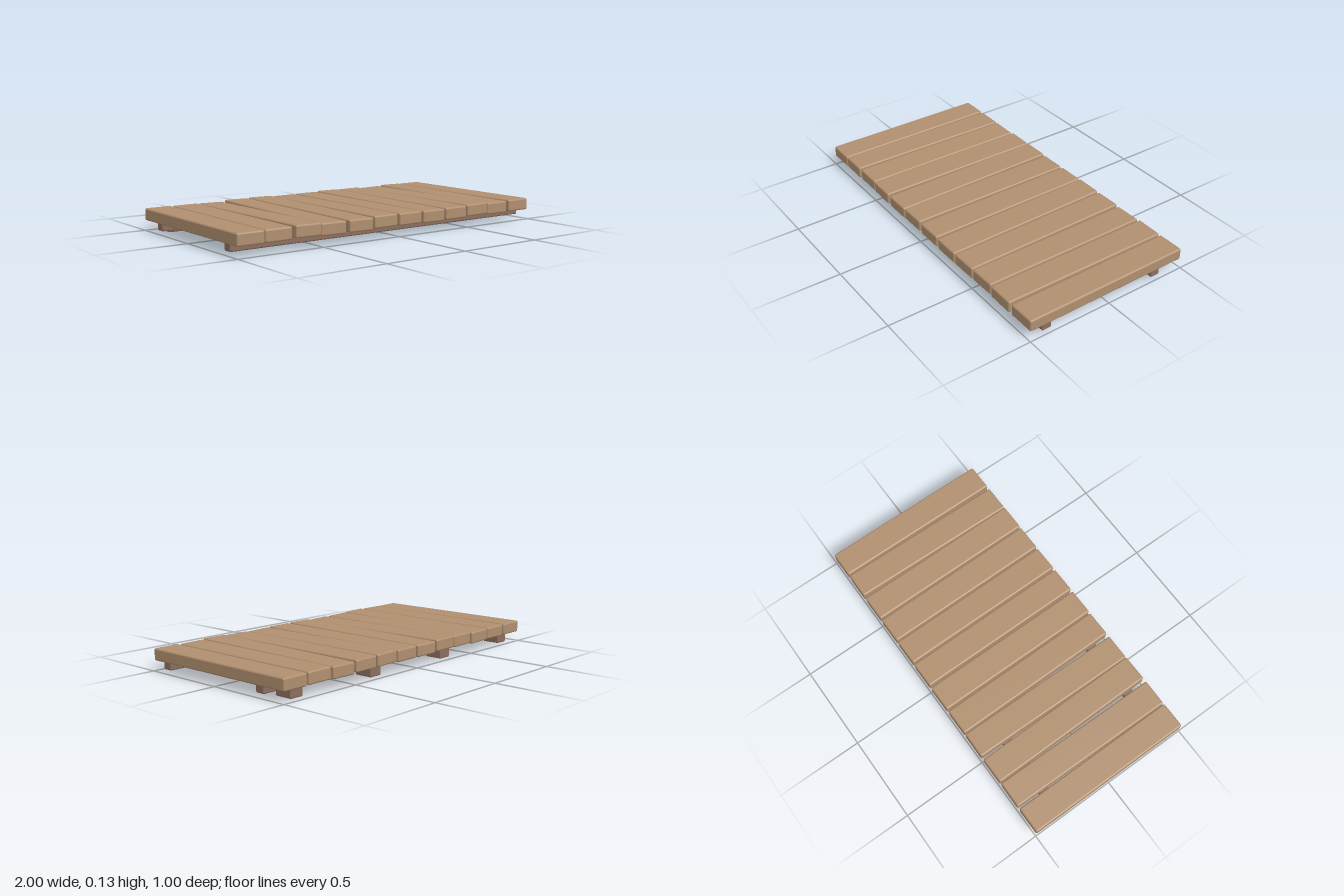
import * as THREE from 'three';
import { RoundedBoxGeometry } from 'three/addons/geometries/RoundedBoxGeometry.js';

export function createModel() {
  const group = new THREE.Group();
  group.name = 'plankPlatform';

  const plankWood = new THREE.MeshStandardMaterial({ color: 0xb08f6f });
  plankWood.name = 'plankWood';
  const beamWood = new THREE.MeshStandardMaterial({ color: 0x8d6e5f });
  beamWood.name = 'beamWood';

  function addBoard(name, size, position, material, radius) {
    const mesh = new THREE.Mesh(new RoundedBoxGeometry(...size, 2, radius), material);
    mesh.name = name;
    mesh.position.set(...position);
    group.add(mesh);
    return mesh;
  }

  // Deck planks, each slightly askew: [x, yaw, roll, pitch]
  const planks = [
    [-0.922, 0, 0, 0],
    [-0.758, -0.01, 0.005, 0.002],
    [-0.588, 0.005, -0.018, 0.007],
    [-0.424, -0.012, -0.012, -0.005],
    [-0.255, 0.005, -0.012, -0.007],
    [-0.088, 0, 0.006, 0.003],
    [0.082, 0.003, 0, 0],
    [0.249, 0.008, -0.015, -0.007],
    [0.415, 0.008, 0.006, -0.003],
    [0.582, 0.004, 0.014, 0.006],
    [0.747, -0.01, -0.01, -0.004],
    [0.918, 0, 0, 0],
  ];
  planks.forEach(([x, yaw, roll, pitch], i) => {
    const plank = addBoard(`plank${i + 1}`, [0.156, 0.068, 0.996], [x, 0.093, 0], plankWood, 0.01);
    plank.rotation.set(-pitch, yaw, roll);
  });

  // Long beams under the deck
  addBoard('frontBeam', [1.985, 0.048, 0.058], [-0.002, 0.046, 0.392], beamWood, 0.008);
  addBoard('backBeam', [1.985, 0.048, 0.058], [-0.002, 0.046, -0.324], beamWood, 0.008);

  // Support blocks behind the back beam
  for (const x of [-0.883, -0.304, 0.296, 0.874]) {
    addBoard('supportBlock', [0.084, 0.07, 0.107], [x, 0.037, -0.406], beamWood, 0.008);
  }

  return group;
}
